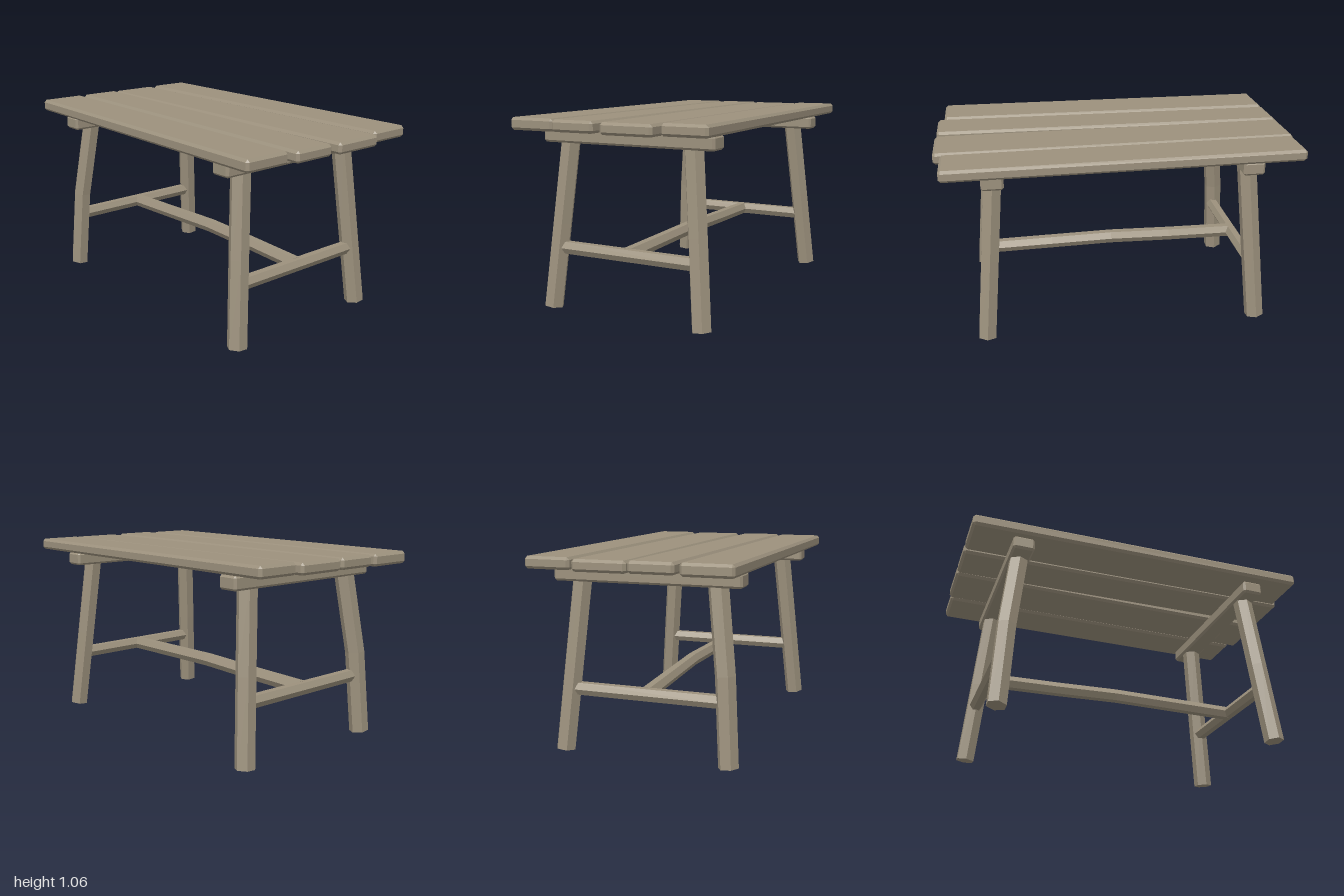
import * as THREE from 'three';
import { ConvexGeometry } from 'three/addons/geometries/ConvexGeometry.js';

const wood = new THREE.MeshStandardMaterial({ color: 0x9c917d, flatShading: true });

function part(name, geometry) {
  const mesh = new THREE.Mesh(geometry, wood);
  mesh.name = name;
  return mesh;
}

// Chamfered board; the z range may differ between its -x and +x ends
function board([x0, x1], [y0, y1], zLeft, zRight, c) {
  const points = [];
  [[x0, 1, zLeft], [x1, -1, zRight]].forEach(([x, sx, zs]) => {
    [[y0, 1], [y1, -1]].forEach(([y, sy]) => {
      [[zs[0], 1], [zs[1], -1]].forEach(([z, sz]) => {
        points.push(
          new THREE.Vector3(x, y + sy * c, z + sz * c),
          new THREE.Vector3(x + sx * c, y, z + sz * c),
          new THREE.Vector3(x + sx * c, y + sy * c, z));
      });
    });
  });
  return new ConvexGeometry(points);
}

// Hexagonal pole whose rings follow a slightly bent line of points
function pole(path, radius, phase = 0) {
  const pts = path.map(p => new THREE.Vector3(...p));
  const n = pts.length - 1;
  const geometry = new THREE.CylinderGeometry(radius, radius, 1, 6, n, false, phase);
  const axis = pts[n].clone().sub(pts[0]).normalize();
  const turn = new THREE.Quaternion().setFromUnitVectors(new THREE.Vector3(0, 1, 0), axis);
  const pos = geometry.attributes.position;
  const v = new THREE.Vector3();
  for (let i = 0; i < pos.count; i++) {
    v.fromBufferAttribute(pos, i);
    const ring = Math.round((v.y + 0.5) * n);
    v.setY(0).applyQuaternion(turn).add(pts[ring]);
    pos.setXYZ(i, v.x, v.y, v.z);
  }
  geometry.computeVertexNormals();
  return geometry;
}

export function createModel() {
  const table = new THREE.Group();
  table.name = 'table';

  // Table top: four uneven planks, back to front
  const planks = [
    { x: [-0.985, 0.955], y: [1.004, 1.068], l: [-0.56, -0.31], r: [-0.58, -0.328] },
    { x: [-1, 0.995], y: [1, 1.063], l: [-0.292, 0], r: [-0.307, -0.01] },
    { x: [-1, 0.988], y: [1.002, 1.065], l: [0.006, 0.247], r: [0.035, 0.282] },
    { x: [-1, 0.953], y: [0.998, 1.065], l: [0.272, 0.543], r: [0.303, 0.573] },
  ];
  planks.forEach((p, i) => table.add(part('plank' + (i + 1), board(p.x, p.y, p.l, p.r, 0.014))));

  // Two trestles, each with a beam, two splayed legs and a cross rail
  [[-1, 'right', -0.71], [1, 'left', 0.69]].forEach(([side, label, cx]) => {
    const zs = [-0.515, 0.515];
    table.add(part(label + 'Beam', board([cx - 0.06, cx + 0.06], [0.92, 0.996], zs, zs, 0.012)));
    [[-1, 'Back'], [1, 'Front']].forEach(([end, endLabel]) => {
      const bend = side < 0 && end > 0 ? 0.014 : 0;
      table.add(part(label + endLabel + 'Leg', pole([
        [cx + side * 0.083, 0.01, end * 0.46],
        [cx + side * (0.04 + bend), 0.48, end * (0.417 + bend)],
        [cx - side * 0.002, 0.95, end * 0.373],
      ], 0.055)));
    });
    const rx = cx + side * 0.052;
    table.add(part(label + 'CrossRail', pole([[rx, 0.345, -0.42], [rx, 0.345, 0.42]], 0.038, Math.PI / 6)));
  });

  // Long stretcher, gently arched between the cross rails
  table.add(part('longStretcher', pole([
    [-0.755, 0.345, 0], [-0.36, 0.353, -0.008], [0, 0.363, -0.012],
    [0.36, 0.355, -0.008], [0.735, 0.345, 0],
  ], 0.04)));

  return table;
}
